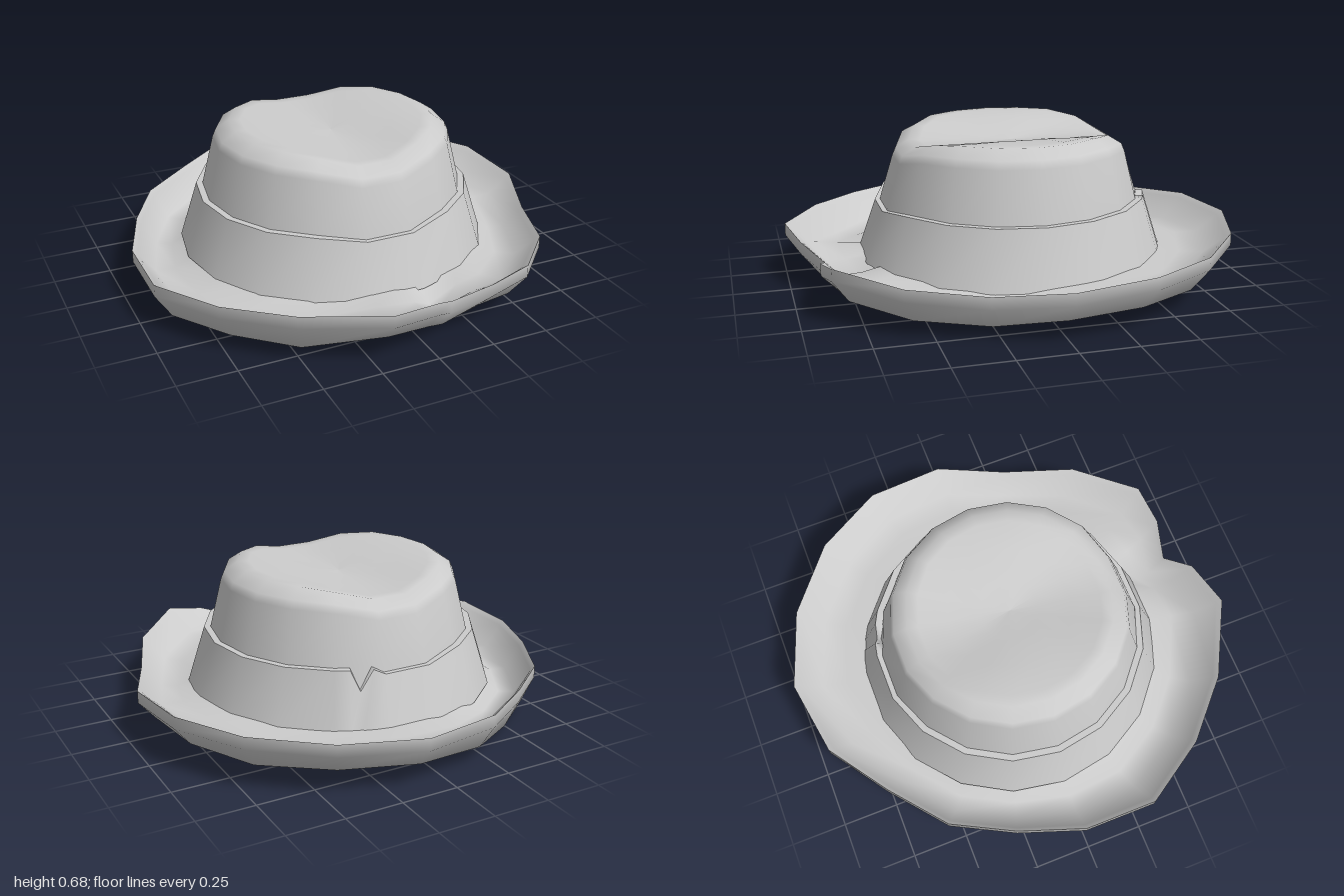
import * as THREE from 'three';

const material = new THREE.MeshStandardMaterial({ color: 0xcccccc, side: THREE.DoubleSide });

// Skin closed rings of [x, y, z] points, listed so that the surface faces outwards
function loft(rings) {
  const n = rings[0].length;
  const index = [];
  for (let r = 0; r < rings.length - 1; r++) {
    for (let j = 0; j < n; j++) {
      const a = r * n + j, b = r * n + (j + 1) % n;
      index.push(a, a + n, b, b, a + n, b + n);
    }
  }
  const geometry = new THREE.BufferGeometry();
  geometry.setAttribute('position', new THREE.Float32BufferAttribute(rings.flat(2), 3));
  geometry.setIndex(index);
  geometry.computeVertexNormals();
  return geometry;
}

function part(name, geometry) {
  const mesh = new THREE.Mesh(geometry, material);
  mesh.name = name;
  return mesh;
}

const CX = -0.015; // centre of the crown
const degrees = Array.from({ length: 18 }, (_, i) => i * 20);
const ring = (angles, radius, height) => angles.map((d) => {
  const a = THREE.MathUtils.degToRad(d);
  const x = radius * Math.cos(a), z = radius * Math.sin(a);
  return [CX + x, height(x, z, d), z];
});

// Brim edge: x, z, rim height, height of the low underside
const brimEdge = [
  [0.13, -1.0, 0.25, 0.08], [0.47, -0.88, 0.25, 0.08], [0.75, -0.65, 0.25, 0.07],
  [0.92, -0.35, 0.25, 0.08], [0.95, 0, 0.23, 0.07], [0.83, 0.3, 0.2, 0.035],
  [0.71, 0.62, 0.22, 0.045], [0.48, 0.87, 0.25, 0.07], [0.3, 0.895, 0.215, 0.07],
  [0.13, 0.86, 0.16, 0.005], [0.02, 0.95, 0.225, 0.06], [-0.2, 1.0, 0.25, 0.085],
  [-0.53, 0.83, 0.235, 0.03], [-0.77, 0.61, 0.22, 0.03], [-0.95, 0.33, 0.215, 0.02],
  [-0.95, 0, 0.215, 0.02], [-0.85, -0.29, 0.22, 0.015], [-0.71, -0.56, 0.22, 0.015],
  [-0.47, -0.76, 0.23, 0.03], [-0.21, -0.945, 0.25, 0.06],
];

// A ring at fraction t of the way from a circle of the given radius to the brim edge
const brimRing = (radius, t, height) => brimEdge.map(([x, z, rim, low]) => {
  const k = radius / Math.hypot(x - CX, z);
  const f = k + (1 - k) * t;
  return [CX + (x - CX) * f, height(rim, low), z * f];
});

function createBrim() {
  const group = new THREE.Group();
  group.name = 'brim';
  const rim = brimRing(0.63, 1, (h) => h);
  group.add(part('brimUnderside', loft([
    brimRing(0.63, 0, () => 0.13),
    brimRing(0.63, 0.3, (h, low) => low + 0.025),
    brimRing(0.63, 0.56, (h, low) => low),
    brimRing(0.63, 0.78, (h, low) => low + 0.02),
    brimRing(0.63, 1, (h) => h - 0.055),
    rim,
  ])));
  group.add(part('brimTop', loft([
    rim,
    brimRing(0.63, 0.93, (h) => h - 0.02),
    brimRing(0.63, 0.68, (h, low) => low + 0.075),
    brimRing(0.63, 0.4, (h, low) => low + 0.07),
    brimRing(0.63, 0.03, () => 0.15),
  ])));
  return group;
}

// Crown with a saddle-shaped top that dips along the middle
function createCrown() {
  const saddle = (x) => THREE.MathUtils.smoothstep(Math.abs(x), 0, 0.34);
  const top = (x) => 0.62 + 0.06 * saddle(x);
  return part('crown', loft([
    ring(degrees, 0.635, () => 0.13),
    ring(degrees, 0.58, () => 0.38),
    ring(degrees, 0.525, (x) => 0.55 + 0.055 * saddle(x)),
    ring(degrees, 0.51, (x) => 0.585 + 0.055 * saddle(x)),
    ring(degrees, 0.45, top),
    ring(degrees, 0.4, top),
    ring(degrees, 0.27, top),
    ring(degrees, 0.13, top),
    ring(degrees, 0, top),
  ]));
}

// Hat band with a small notch at the back
function createBand() {
  const angles = [...degrees, 285, 290, 294].sort((a, b) => a - b);
  const edge = (x, z, d) => {
    if (d === 290) return 0.29;
    return Math.abs(x) < 0.2 * Math.abs(z) ? 0.357 : 0.383;
  };
  const outer = ring(angles, 0.608, edge);
  const group = new THREE.Group();
  group.name = 'hatBand';
  group.add(part('bandSide', loft([ring(angles, 0.688, () => 0.13), outer])));
  group.add(part('bandEdge', loft([outer, ring(angles, 0.575, edge)])));
  return group;
}

export function createModel() {
  const hat = new THREE.Group();
  hat.name = 'hat';
  hat.add(createBrim(), createCrown(), createBand());
  return hat;
}
